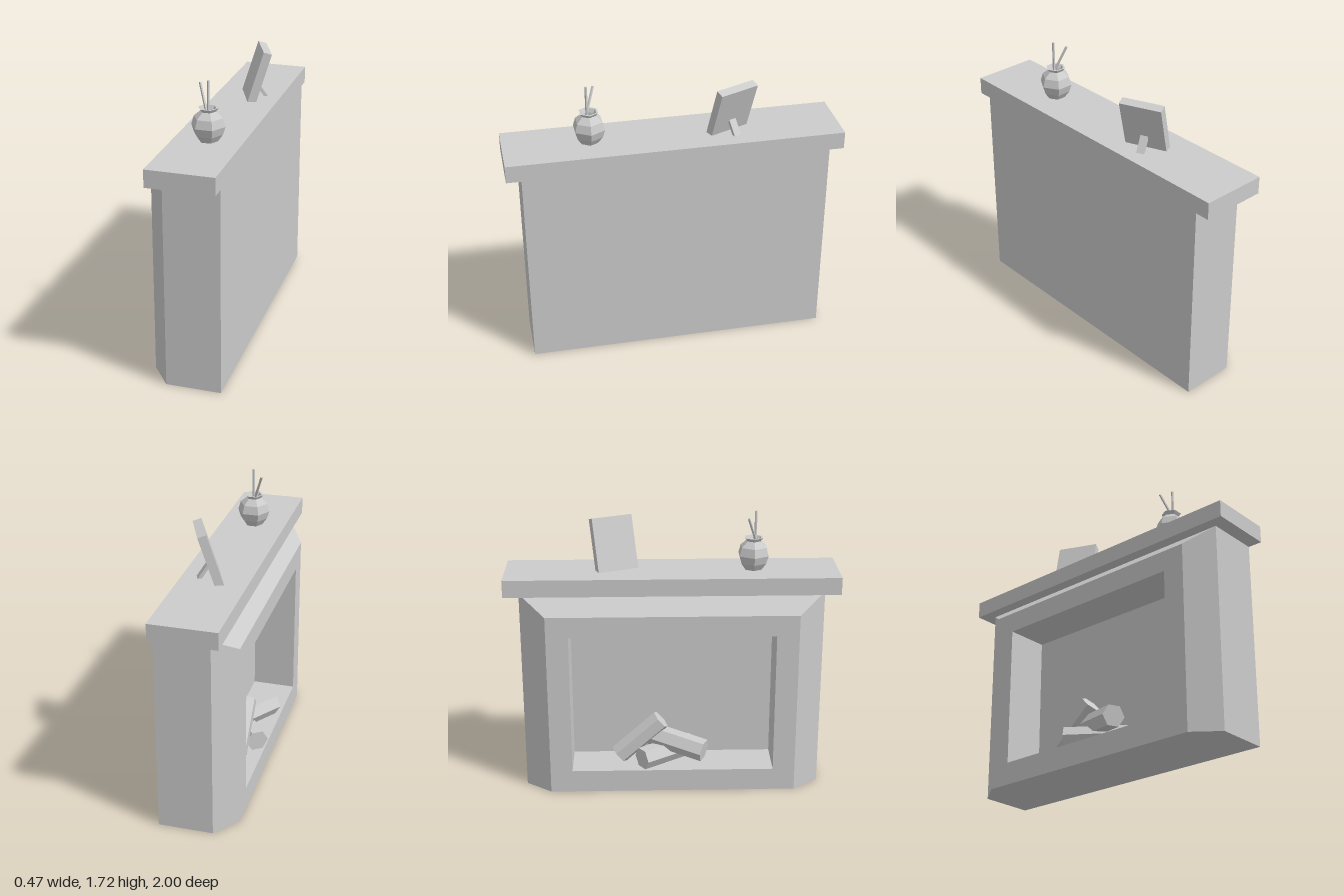
import * as THREE from 'three';

const material = new THREE.MeshStandardMaterial({ color: 0xcccccc, flatShading: true });
const openMaterial = new THREE.MeshStandardMaterial({ color: 0xcccccc, flatShading: true, side: THREE.DoubleSide });

function part(name, geometry, parent, mat = material) {
  const mesh = new THREE.Mesh(geometry, mat);
  mesh.name = name;
  parent.add(mesh);
  return mesh;
}

// Straight rod with `sides` faces between two points
function rod(name, from, to, radius, sides, parent) {
  const a = new THREE.Vector3(...from), b = new THREE.Vector3(...to);
  const axis = b.clone().sub(a);
  const mesh = part(name, new THREE.CylinderGeometry(radius, radius, axis.length(), sides), parent);
  mesh.position.copy(a).add(b).multiplyScalar(0.5);
  // heading and tilt kept apart so the sides do not twist
  mesh.rotation.order = 'YXZ';
  mesh.rotation.y = Math.atan2(axis.x, axis.z);
  mesh.rotation.x = Math.acos(axis.y / axis.length());
  return mesh;
}

// Chimney breast: rectangles lofted from the back wall to the face, then into the firebox
function breastGeometry() {
  const sections = [ // x, half width, bottom, top
    [0.23, 0.912, 0, 1.26],
    [-0.10, 0.912, 0, 1.26],
    [-0.22, 0.755, 0, 1.15],
    [-0.22, 0.62, 0.14, 1.02],
    [0.05, 0.62, 0.14, 1.02],
  ];
  const points = [], faces = [];
  for (const [x, w, y0, y1] of sections) points.push(x, y0, -w, x, y0, w, x, y1, w, x, y1, -w);
  for (let s = 0; s < sections.length - 1; s++) {
    for (let i = 0; i < 4; i++) {
      const a = s * 4 + i, b = s * 4 + (i + 1) % 4;
      faces.push(a, b, a + 4, b, b + 4, a + 4);
    }
  }
  const e = (sections.length - 1) * 4;
  faces.push(0, 2, 1, 0, 3, 2, e, e + 1, e + 2, e, e + 2, e + 3);
  const geometry = new THREE.BufferGeometry();
  geometry.setAttribute('position', new THREE.Float32BufferAttribute(points, 3));
  geometry.setIndex(faces);
  const flat = geometry.toNonIndexed();
  flat.computeVertexNormals();
  return flat;
}

export function createModel() {
  const model = new THREE.Group();
  model.name = 'fireplace';

  // Surround and shelf
  part('chimneyBreast', breastGeometry(), model);
  part('mantelShelf', new THREE.BoxGeometry(0.4, 0.105, 2), model).position.set(0.03, 1.3125, 0);

  // Stacked six-sided logs
  const logs = new THREE.Group();
  logs.name = 'logs';
  model.add(logs);
  rod('floorLog', [-0.178, 0.2, -0.19], [0.04, 0.2, 0.12], 0.07, 6, logs).rotateY(Math.PI / 6);
  rod('crossLog', [-0.015, 0.31, -0.166], [-0.175, 0.25, 0.194], 0.07, 6, logs).rotateY(Math.PI / 6);
  rod('leaningLog', [-0.085, 0.19, -0.33], [-0.077, 0.42, -0.07], 0.065, 6, logs);

  // Faceted vase with a hollow neck
  const vase = new THREE.Group();
  vase.name = 'vase';
  vase.position.set(0.03, 1.365, 0.49);
  model.add(vase);
  const profile = [
    [0, 0], [0.055, 0], [0.085, 0.042], [0.1, 0.09], [0.085, 0.14], [0.045, 0.175],
    [0.06, 0.195], [0.048, 0.195], [0.036, 0.172], [0.03, 0.13], [0, 0.13],
  ].map(([r, y]) => new THREE.Vector2(r, y));
  part('vaseBody', new THREE.LatheGeometry(profile, 6), vase, openMaterial).rotation.y = Math.PI / 6;
  rod('uprightStick', [0.005, 0.12, 0.01], [0.005, 0.355, 0.01], 0.008, 5, vase);
  rod('tiltedStick', [0.012, 0.12, 0.03], [-0.058, 0.325, -0.038], 0.008, 5, vase);

  // Leaning picture frame with a strut behind it
  const frame = new THREE.Group();
  frame.name = 'pictureFrame';
  frame.position.set(0.01, 1.365, -0.318);
  frame.rotation.y = 0.4;
  model.add(frame);
  const panel = new THREE.BoxGeometry(0.052, 0.325, 0.255).translate(0.026, 0.1625, 0);
  part('framePanel', panel, frame).rotation.z = -0.305;
  const strut = part('frameStrut', new THREE.BoxGeometry(0.02, 0.12, 0.045), frame);
  strut.position.set(0.1, 0.04, 0);
  strut.rotation.z = 0.6;

  return model;
}
